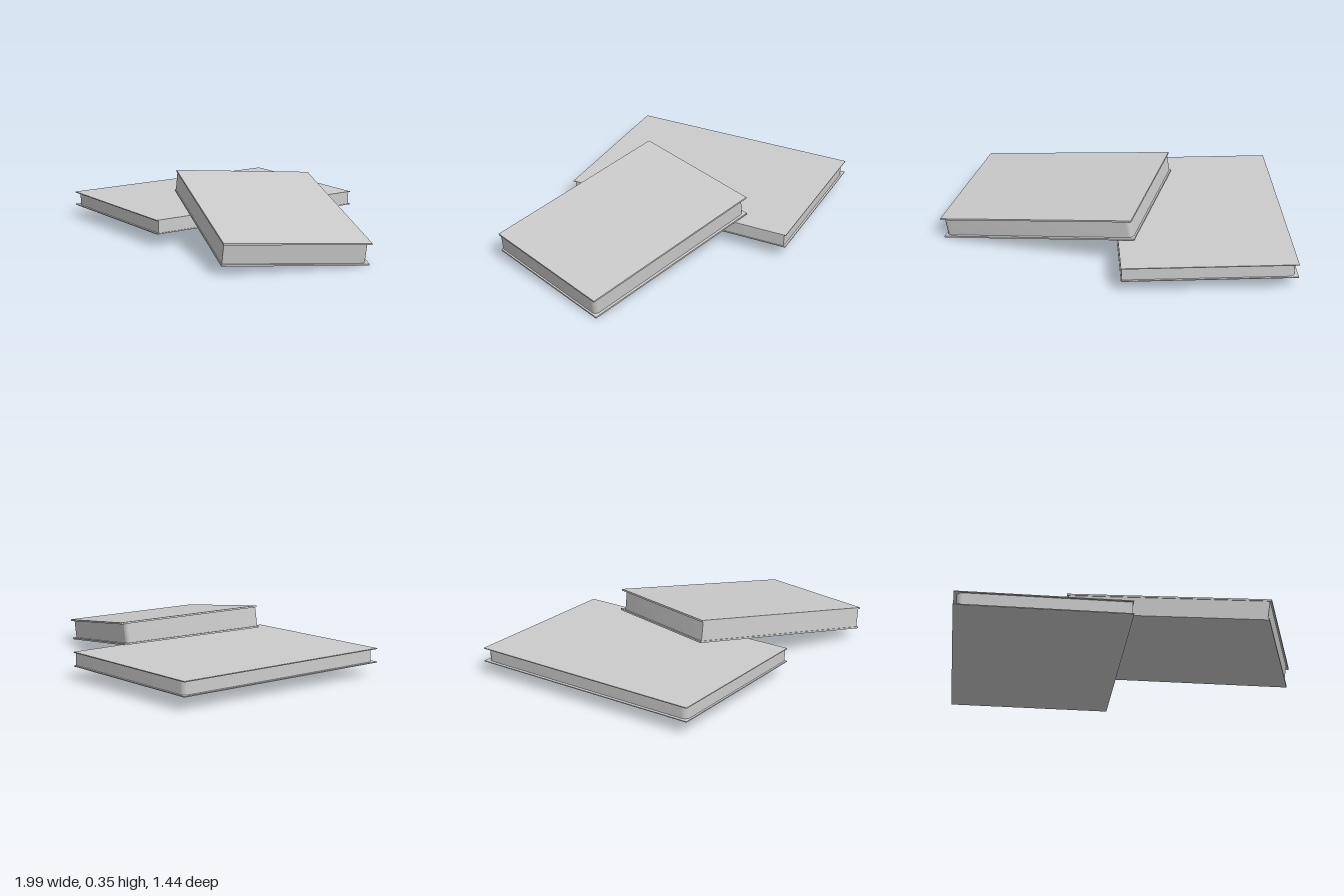
import * as THREE from 'three';
import { toCreasedNormals } from 'three/addons/utils/BufferGeometryUtils.js';

const material = new THREE.MeshStandardMaterial({ color: 0xcccccc });

// Page block outline: square corners at the spine (+z), rounded at the fore edge (-z)
function pageBlock(length, width, height, scale) {
  const end = length / 2 - 0.012 * scale;
  const spine = -width / 2 + 0.005 * scale;
  const fore = width / 2 - 0.018 * scale;
  const r = 0.035 * scale;
  const shape = new THREE.Shape();
  shape.moveTo(-end, spine);
  shape.lineTo(end, spine);
  shape.lineTo(end, fore - r);
  shape.absarc(end - r, fore - r, r, 0, Math.PI / 2);
  shape.lineTo(-end + r, fore);
  shape.absarc(-end + r, fore - r, r, Math.PI / 2, Math.PI);
  shape.closePath();
  const geometry = new THREE.ExtrudeGeometry(shape, { depth: height, bevelEnabled: false, curveSegments: 8 });
  geometry.translate(0, 0, -height / 2).rotateX(-Math.PI / 2);
  return toCreasedNormals(geometry, 0.6);
}

// A closed book centred on its own origin, long side along x, spine at +z
function makeBook(name, length, width, thickness, coverThickness) {
  const book = new THREE.Group();
  book.name = name;
  const scale = length / 1.39;

  const pages = new THREE.Mesh(pageBlock(length, width, thickness - 2 * coverThickness, scale), material);
  pages.name = 'pages';
  book.add(pages);

  for (const [side, sign] of [['topCover', 1], ['bottomCover', -1]]) {
    const cover = new THREE.Mesh(new THREE.BoxGeometry(length, coverThickness, width), material);
    cover.name = side;
    cover.position.y = sign * (thickness - coverThickness) / 2;
    book.add(cover);
  }
  return book;
}

export function createModel() {
  const model = new THREE.Group();
  model.name = 'twoBooks';
  const deg = THREE.MathUtils.degToRad;

  // Thin book lying flat
  const flatBook = makeBook('flatBook', 1.39, 0.972, 0.082, 0.005);
  flatBook.rotation.y = deg(90);
  flatBook.position.set(-0.514, 0.116, -0.032);
  model.add(flatBook);

  // Thicker book leaning across it, placed by the centre of its top cover
  const thickness = 0.128;
  const leaningBook = makeBook('leaningBook', 1.17, 0.816, thickness, 0.01);
  leaningBook.rotation.set(deg(-3.85), deg(-20), deg(-8.4), 'YZX');
  const up = new THREE.Vector3(0, 1, 0).applyEuler(leaningBook.rotation);
  leaningBook.position.set(0.312, 0.241, 0.134).addScaledVector(up, -thickness / 2);
  model.add(leaningBook);

  return model;
}
